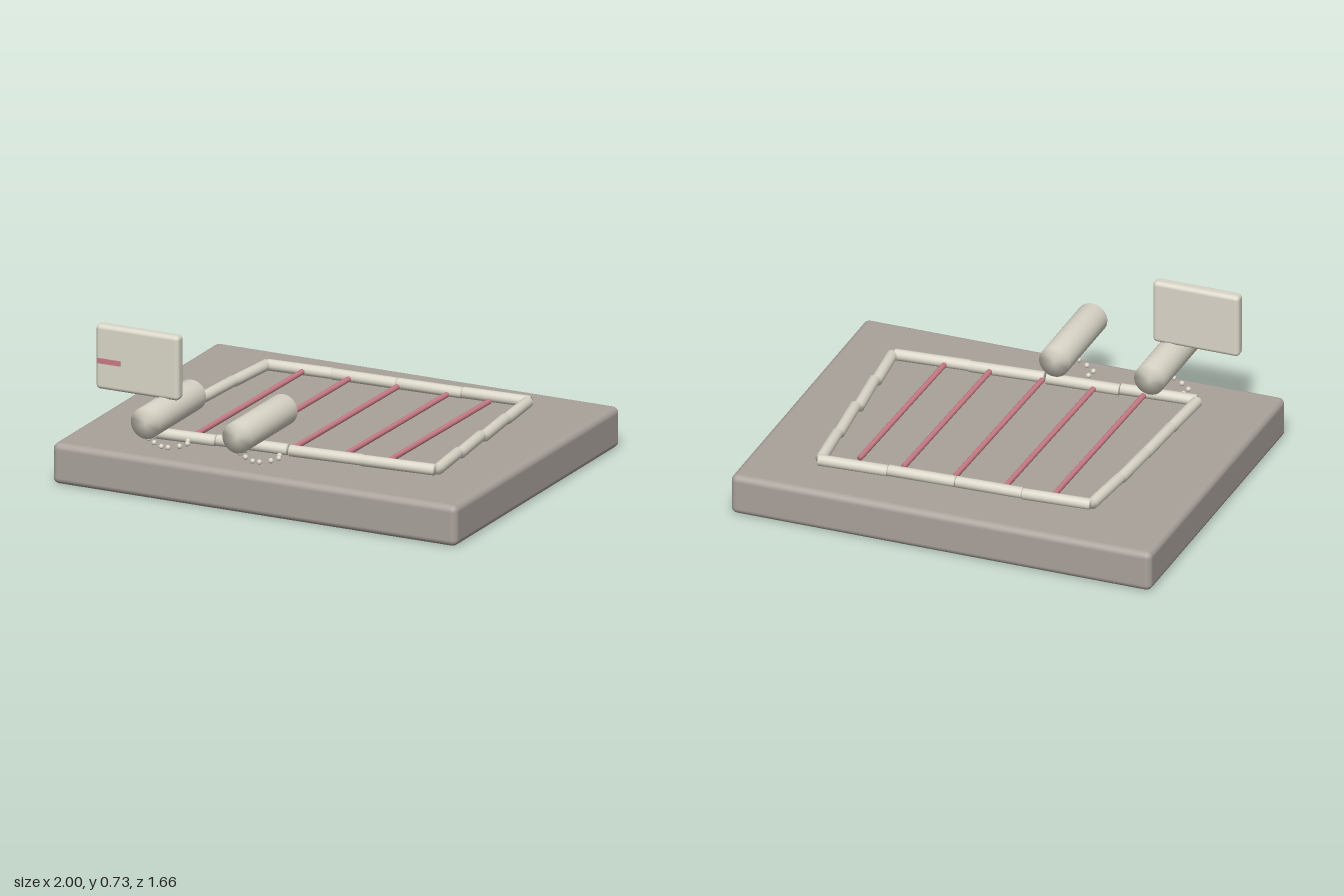
import * as THREE from 'three';
import { mergeVertices } from 'three/addons/utils/BufferGeometryUtils.js';
import { RoundedBoxGeometry } from 'three/addons/geometries/RoundedBoxGeometry.js';

const stone = new THREE.MeshStandardMaterial({ color: 0xaaa29b });
stone.name = 'warm grey';
const bone = new THREE.MeshStandardMaterial({ color: 0xdad6c8 });
bone.name = 'bone white';
const pink = new THREE.MeshStandardMaterial({ color: 0xc97c86 });
pink.name = 'dusty pink';

// Cylinder whose normals blend softly over the end rims
function softCylinder(radius, length, sides) {
  const g = new THREE.CylinderGeometry(radius, radius, length, sides);
  g.deleteAttribute('normal');
  g.deleteAttribute('uv');
  const merged = mergeVertices(g, 1e-4);
  merged.computeVertexNormals();
  return merged;
}

function add(parent, name, geometry, material, x, y, z) {
  const mesh = new THREE.Mesh(geometry, material);
  mesh.name = name;
  mesh.position.set(x, y, z);
  parent.add(mesh);
  return mesh;
}

// Level rod between two points [x, z] at height y
function rod(parent, name, [x1, z1], [x2, z2], y, radius, material, sides) {
  const dir = new THREE.Vector3(x2 - x1, 0, z2 - z1);
  const mesh = add(parent, name, softCylinder(radius, dir.length(), sides), material,
    (x1 + x2) / 2, y, (z1 + z2) / 2);
  mesh.quaternion.setFromUnitVectors(new THREE.Vector3(0, 1, 0), dir.normalize());
}

export function createModel() {
  const model = new THREE.Group();
  model.name = 'slabWithFrame';

  // Ground slab
  add(model, 'slab', new RoundedBoxGeometry(2, 0.19, 1.607, 4, 0.03), stone, 0, 0.095, -0.0265);

  // Crooked frame: four sides of four segments, each [x1, z1, x2, z2]
  const sides = {
    backFrame: [[-0.6, -0.545, -0.29, -0.566], [-0.283, -0.559, 0.025, -0.57],
      [0.032, -0.57, 0.342, -0.582], [0.347, -0.587, 0.665, -0.607]],
    leftFrame: [[0.66, -0.594, 0.685, -0.342], [0.678, -0.337, 0.706, -0.08],
      [0.69, -0.075, 0.72, 0.182], [0.708, 0.182, 0.735, 0.428]],
    frontFrame: [[0.725, 0.44, 0.378, 0.468], [0.378, 0.46, 0.035, 0.488],
      [0.018, 0.48, -0.317, 0.502], [-0.323, 0.511, -0.67, 0.537]],
    rightFrame: [[-0.606, -0.54, -0.628, -0.275], [-0.634, -0.267, -0.647, -0.01],
      [-0.65, -0.008, -0.66, 0.257], [-0.663, 0.257, -0.676, 0.524]],
  };
  for (const [name, segments] of Object.entries(sides)) {
    const group = new THREE.Group();
    group.name = name;
    model.add(group);
    segments.forEach(([x1, z1, x2, z2]) =>
      rod(group, 'frameSegment', [x1, z1], [x2, z2], 0.225, 0.026, bone, 16));
  }

  // Thin bars running front to back inside the frame
  [[-0.42, 0.49], [-0.191, 0.465], [0.05, 0.46], [0.294, 0.445], [0.504, 0.43]].forEach(([x, front]) =>
    rod(model, 'bar', [x, -0.525], [x - 0.017, front], 0.225, 0.0125, pink, 12));

  // Two raised cylinders, each with a half ring of beads below
  const beads = [[-0.085, 0.575], [-0.09, 0.62], [-0.043, 0.66], [0.01, 0.695],
    [0.043, 0.695], [0.08, 0.655], [0.095, 0.608], [0.08, 0.572]];
  const beadGeometry = new THREE.SphereGeometry(0.012, 12, 8);
  for (const x of [-0.508, -0.056]) {
    rod(model, 'raisedCylinder', [x, 0.38], [x, 0.83], 0.37, 0.072, bone, 32);
    beads.forEach(([dx, z]) => add(model, 'bead', beadGeometry, bone, x + dx, 0.225, z));
  }

  // Upright plaque with a small marking floating before its face
  add(model, 'plaque', new RoundedBoxGeometry(0.41, 0.3, 0.058, 4, 0.02), bone, -0.635, 0.583, 0.637);
  add(model, 'plaqueMark', new THREE.BoxGeometry(0.115, 0.024, 0.004), pink, -0.766, 0.572, 0.68);

  return model;
}
